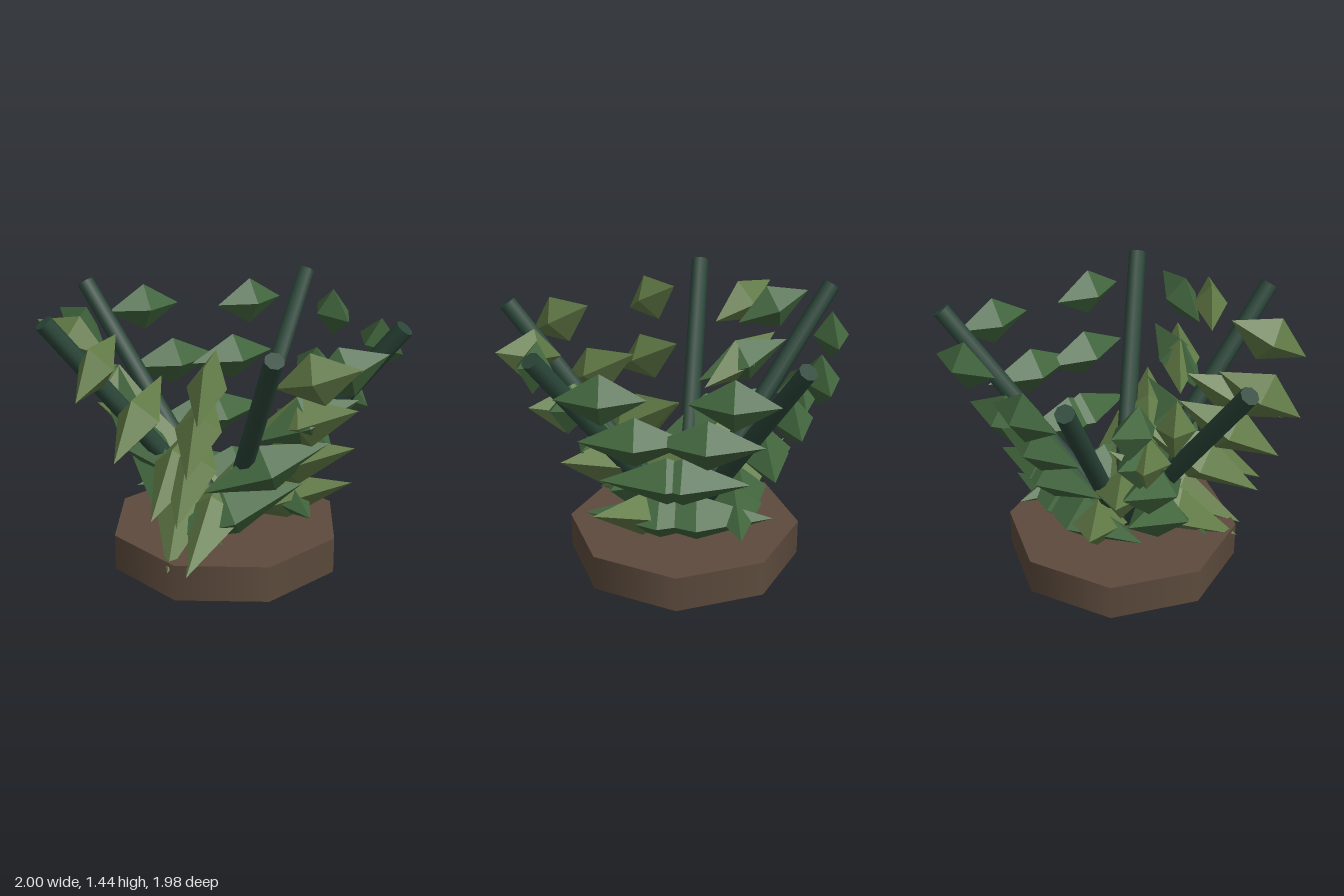
import * as THREE from 'three';

const rad = THREE.MathUtils.degToRad;
const paint = (color, flatShading = false) => new THREE.MeshStandardMaterial({ color, flatShading });

const soilMat = paint(0x5c4a3c);
const stemMat = paint(0x2a4538);
const greenMat = paint(0x41653d, true);
const oliveMat = paint(0x617a46, true);

// Each stem: compass angle, leaf colour, and its two leaf rows
// (side of the stem, heading of the leaf tip, upward tilt, length factor)
const STEMS = [
  { angle: 0.3, mat: greenMat, rows: [[1, -33, 20, 0.93], [-1, 43, 0, 0.92]] },
  { angle: 52.7, mat: oliveMat, rows: [[1, 77, -30, 1], [-1, -5, 18, 0.93]] },
  { angle: 137, mat: oliveMat, rows: [[-1, 90, -30, 0.97], [1, 180, 20, 0.95]] },
  { angle: 190, mat: greenMat, rows: [[-1, 204, 20, 0.92], [1, 127, 0, 0.9]] },
  { angle: 274.7, mat: greenMat, rows: [[-1, -56, 0, 0.88], [1, 47, 0, 0.92]] },
];

const LEVELS = 4;
const STEM_FOOT = 0.17;
const STEM_TOP = 1.413;
const STEM_REACH = 0.966;
const LEAF_OFFSET = 0.27;

// Straight stem leaning outwards from the middle of the base
function makeStem(dir) {
  const foot = new THREE.Vector3(0, STEM_FOOT, 0);
  const tip = dir.clone().multiplyScalar(STEM_REACH).setY(STEM_TOP);
  const axis = tip.clone().sub(foot);
  const stem = new THREE.Mesh(new THREE.CylinderGeometry(0.049, 0.053, axis.length(), 8), stemMat);
  stem.name = 'stem';
  stem.position.copy(foot).add(tip).multiplyScalar(0.5);
  stem.quaternion.setFromUnitVectors(new THREE.Vector3(0, 1, 0), axis.normalize());
  return stem;
}

export function createModel() {
  const plant = new THREE.Group();
  plant.name = 'plant';

  // Eight-sided base
  const base = new THREE.Mesh(new THREE.CylinderGeometry(0.642, 0.642, 0.2, 8), soilMat);
  base.name = 'base';
  base.position.set(-0.008, 0.1, 0.02);
  plant.add(base);

  const leafGeometry = new THREE.OctahedronGeometry(1);

  for (const { angle, mat, rows } of STEMS) {
    const branch = new THREE.Group();
    branch.name = 'branch';
    branch.position.set(-0.005, 0, 0.015);
    const a = rad(angle);
    const dir = new THREE.Vector3(Math.cos(a), 0, Math.sin(a));
    const side = new THREE.Vector3(-Math.sin(a), 0, Math.cos(a));
    branch.add(makeStem(dir));

    // Pairs of pointed leaves beside the stem, shorter and narrower towards the top
    for (const [sign, heading, tilt, factor] of rows) {
      for (let i = 0; i < LEVELS; i++) {
        const leaf = new THREE.Mesh(leafGeometry, mat);
        leaf.name = 'leaf';
        leaf.position.set(0, 0.375 + 0.288 * i, 0)
          .addScaledVector(dir, 0.147 + 0.206 * i)
          .addScaledVector(side, sign * LEAF_OFFSET);
        leaf.rotation.set(0, -rad(heading), rad(tilt), 'YZX');
        leaf.scale.set((0.445 - 0.0667 * i) * factor, 0.135, 0.16 - 0.021 * i);
        branch.add(leaf);
      }
    }
    plant.add(branch);
  }
  return plant;
}
